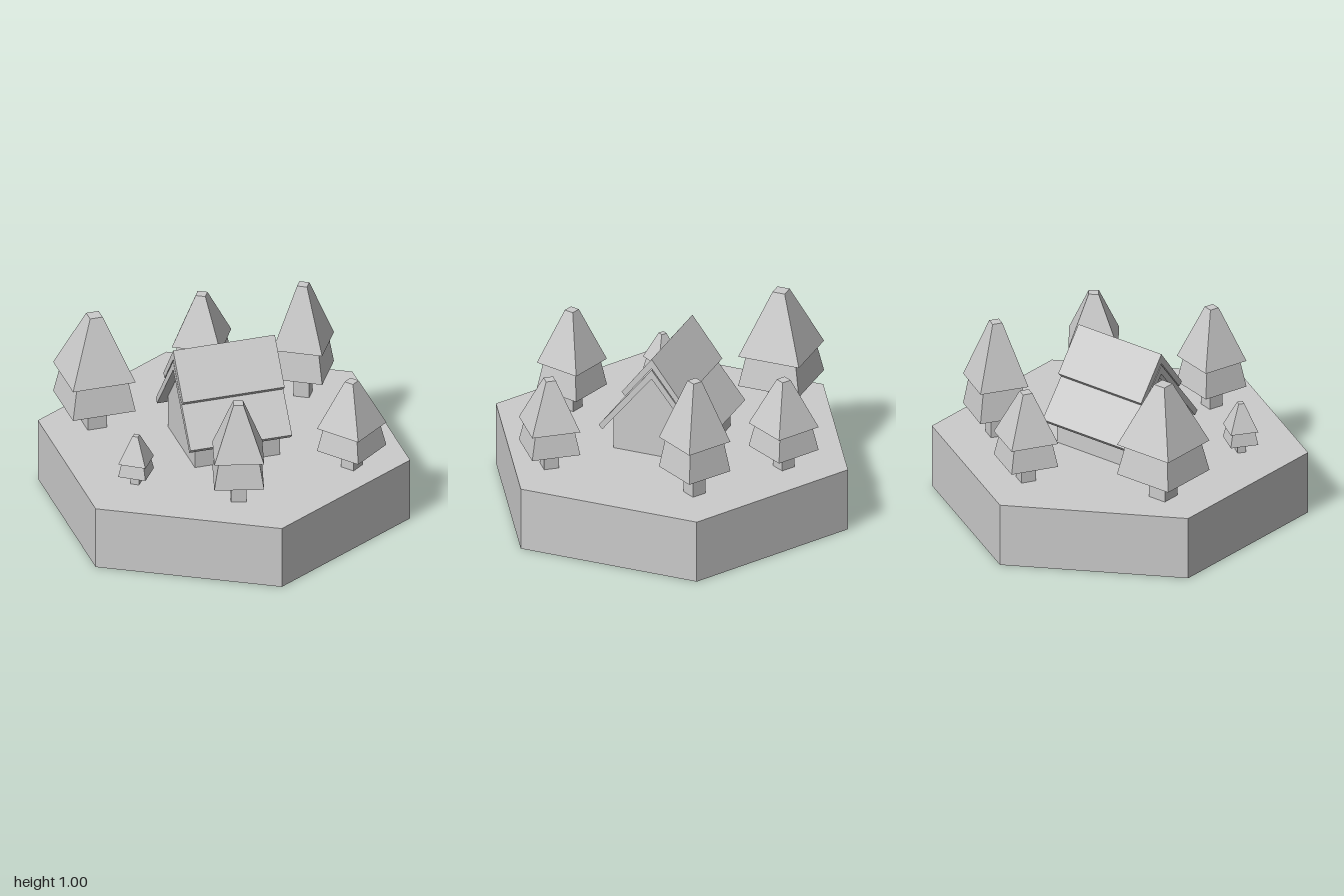
import * as THREE from 'three';

const material = new THREE.MeshStandardMaterial({ color: 0xcccccc, flatShading: true });
const GROUND = 0.35;

function part(name, geometry) {
  const mesh = new THREE.Mesh(geometry, material);
  mesh.name = name;
  return mesh;
}

// Square frustum with given side lengths, between heights y0 and y1
function frustum(bottom, top, y0, y1) {
  return new THREE.CylinderGeometry(top * Math.SQRT1_2, bottom * Math.SQRT1_2, y1 - y0, 4)
    .rotateY(Math.PI / 4)
    .translate(0, (y0 + y1) / 2, 0);
}

// Tree: trunk and two tapered tiers, standing on the ground
function tree(x, z, height, width, degrees) {
  const group = new THREE.Group();
  group.name = 'tree';
  group.add(
    part('trunk', frustum(width * 0.31, width * 0.31, 0, height * 0.24)),
    part('lowerFoliage', frustum(width, width * 0.81, height * 0.212, height * 0.48)),
    part('upperFoliage', frustum(width, width * 0.2, height * 0.475, height)),
  );
  group.position.set(x, GROUND, z);
  group.rotation.y = -THREE.MathUtils.degToRad(degrees);
  return group;
}

// Profile in the z-y plane, extruded along x and centred
function alongX(points, length) {
  const shape = new THREE.Shape(points.map(([z, y]) => new THREE.Vector2(z, y)));
  return new THREE.ExtrudeGeometry(shape, { depth: length, bevelEnabled: false })
    .translate(0, 0, -length / 2)
    .rotateY(Math.PI / 2);
}

// Mirrors one half of a profile across z = 0
function mirrored(half) {
  return [...half, ...half.filter(([z]) => z > 0).reverse().map(([z, y]) => [-z, y])];
}

// Bent roof slab: outer ridge, eave top, eave underside, inner ridge
function roofSlab(ridge, eaveTop, eaveBottom, innerRidge) {
  const flip = ([z, y]) => [-z, y];
  return alongX([[0, ridge], flip(eaveTop), flip(eaveBottom), [0, innerRidge], eaveBottom, eaveTop], 0.56);
}

export function createModel() {
  const model = new THREE.Group();
  model.name = 'forestCabin';

  // Hexagonal ground slab with corners on the z axis
  model.add(part('ground', new THREE.CylinderGeometry(1, 1, GROUND, 6).translate(0, GROUND / 2, 0)));

  // Cabin: gabled walls under two overlapping roof layers
  const cabin = new THREE.Group();
  cabin.name = 'cabin';
  cabin.add(
    part('walls', alongX(mirrored([[0, 0.825], [0.235, 0.53], [0.235, GROUND]]), 0.47)),
    part('lowerRoof', roofSlab(0.872, [0.3, 0.493], [0.28, 0.47], 0.82)),
    part('upperRoof', roofSlab(0.936, [0.17, 0.712], [0.15, 0.69], 0.882)),
  );
  model.add(cabin);

  // Trees: x, z, height, width, turn in degrees
  const trees = [
    [-0.595, -0.373, 0.655, 0.345, 0],
    [0.55, -0.357, 0.655, 0.268, 31],
    [0.09, -0.672, 0.508, 0.262, 30],
    [0.555, 0.465, 0.508, 0.262, 52],
    [-0.118, 0.618, 0.572, 0.262, 15.5],
    [-0.578, 0.293, 0.282, 0.15, 35],
  ];
  for (const t of trees) model.add(tree(...t));

  return model;
}
